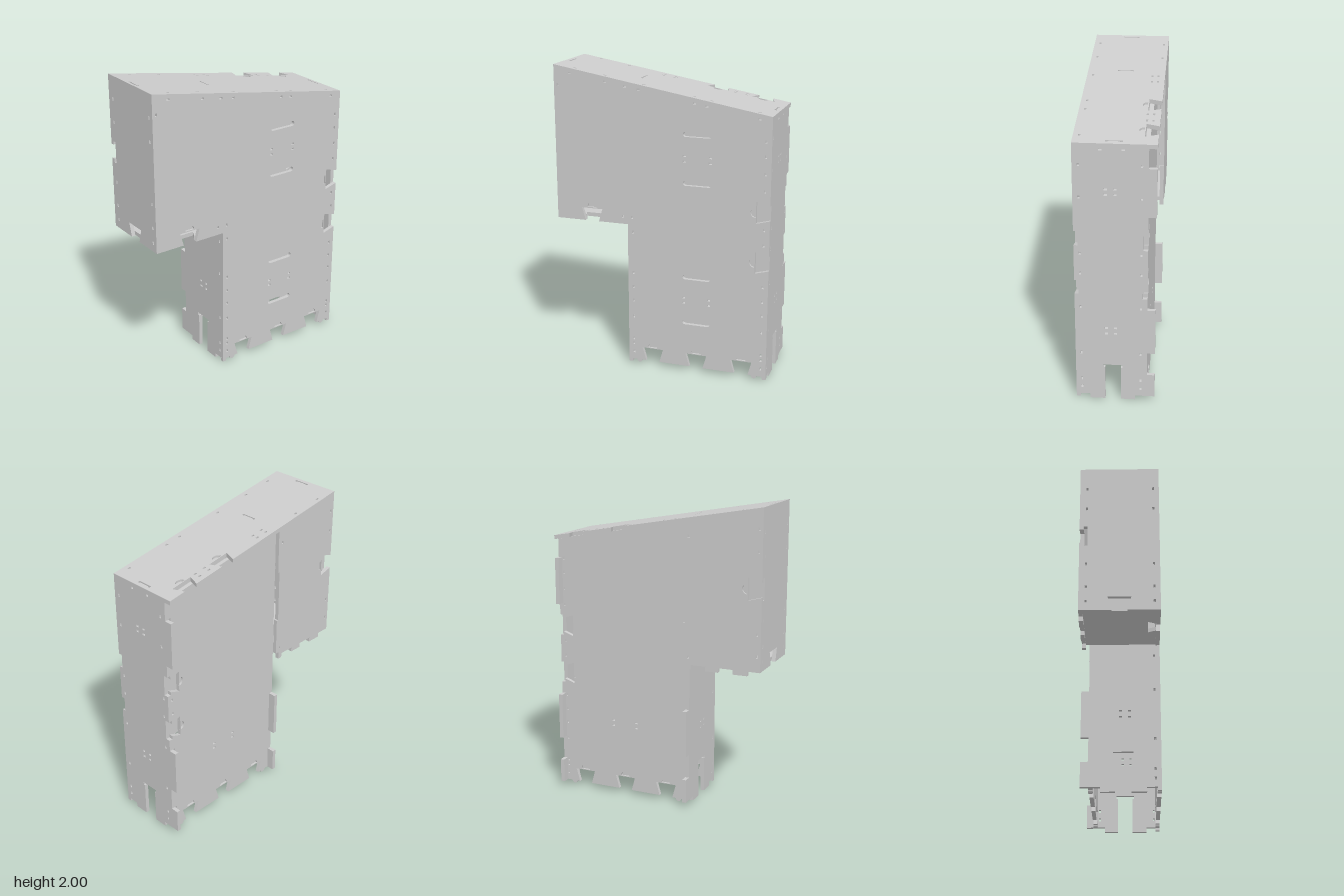
import * as THREE from 'three';

const T = 0.026; // panel thickness
const SLOPE = 0.25 / 1.44;
const roof = x => 2 - SLOPE * (x + 0.72);
const LOCKS = [0.81, 1.14];
const TABS = [[0.03, 0.19], [0.35, 0.66], [1.29, 1.6]];

export function createModel() {
  const group = new THREE.Group();
  const mat = new THREE.MeshStandardMaterial({ color: 0xcccccc, flatShading: true });

  // Outline and holes in a flat plane, given thickness
  const sheet = (points, holes = [], depth = T) => {
    const shape = new THREE.Shape(points.map(p => new THREE.Vector2(...p)));
    shape.holes = holes.map(h => new THREE.Path(h.map(p => new THREE.Vector2(...p))));
    return new THREE.ExtrudeGeometry(shape, { depth, bevelEnabled: false });
  };
  const add = (name, geo, x = 0, y = 0, z = 0) => {
    const mesh = new THREE.Mesh(geo.translate(x, y, z), mat);
    mesh.name = name;
    group.add(mesh);
  };
  const rect = (x, y, w, h) => [[x - w / 2, y - h / 2], [x + w / 2, y - h / 2], [x + w / 2, y + h / 2], [x - w / 2, y + h / 2]];
  const pin = (x, y) => rect(x, y, 0.013, 0.02);
  const pinWide = (x, y) => rect(x, y, 0.02, 0.013);
  const quad = (x, y, dx = 0.17, dy = 0.036) => [[0, 0], [dx, 0], [0, dy], [dx, dy]].map(([a, b]) => pinWide(x + a, y + b));
  const arc = (x, y, r, from, span = Math.PI, n = 12) => Array.from({ length: n + 1 }, (_, i) => {
    const a = from + span * i / n;
    return [x + r * Math.cos(a), y + r * Math.sin(a)];
  });
  const roundSlot = (x, y) => [...arc(x + 0.078, y, 0.016, -Math.PI / 2), ...arc(x - 0.078, y, 0.016, Math.PI / 2)];
  // Dovetail notch while walking an outline anticlockwise in direction d
  const dovetail = (x, y, dx, dy, depth = 0.09) => [[-0.047, 0], [-0.072, depth], [0.072, depth], [0.047, 0]]
    .map(([a, b]) => [x + dx * a - dy * b, y + dy * a + dx * b]);
  const foot = x => [[x - 0.025, 0.03], ...arc(x, 0.03, 0.019, Math.PI, Math.PI, 8), [x + 0.025, 0.03]];

  // Front panel with dovetails, finger recesses, slots and pin holes
  const bottomX = [-0.058, 0.245, 0.552];
  const recesses = [
    ...bottomX.map(x => arc(x, 0.125, 0.032, 0)),
    ...LOCKS.map(y => arc(0.626, y, 0.032, Math.PI / 2)),
    arc(-0.475, 1.072, 0.032, 0),
  ];
  const lowerY = [0.085, 0.145, 0.18, 0.34, 0.455, 0.55, 0.65];
  const edgeY = [...lowerY, 0.93, 1.03, 1.28, 1.39, 1.5, 1.595];
  const mainHoles = [
    ...edgeY.map(y => pin(0.684, y)),
    ...quad(0.16, 0.48), ...quad(0.16, 1.43),
  ];
  const wallHoles = [...lowerY, 0.93].map(y => pin(-0.19, y));
  const frontHoles = [
    ...recesses, ...mainHoles, ...wallHoles,
    ...[0.345, 0.66, 1.29, 1.605].map(y => roundSlot(0.245, y)),
    ...[1.03, 1.8].flatMap(y => [pin(-0.26, y), pin(-0.195, y)]),
    ...[1.08, 1.14, 1.225, 1.73, 1.8, 1.87].map(y => pin(-0.695, y)),
    ...[-0.61, -0.37, -0.235, -0.145, 0.225, 0.305, 0.64].map(x => pinWide(x, roof(x) - 0.032)),
  ];
  add('frontPanel', sheet([
    [-0.72, 0.98], ...dovetail(-0.475, 0.98, 1, 0, 0.085), [-0.225, 0.98], [-0.225, 0.03],
    ...foot(-0.15), ...bottomX.flatMap(x => dovetail(x, 0.03, 1, 0)), ...foot(0.64), [0.72, 0.03],
    ...LOCKS.flatMap(y => dovetail(0.72, y, 0, 1)), [0.72, roof(0.72)], [-0.72, 2],
  ], frontHoles), 0, 0, 0.25 - T);
  recesses.forEach(r => add('fingerRecessFloor', sheet(r, [], T / 2), 0, 0, 0.25 - T));

  // Main back panel, set in behind the side tabs
  const backRecesses = recesses.slice(0, 5);
  add('backPanel', sheet([
    [-0.2, 0.03], ...foot(-0.15), ...bottomX.flatMap(x => dovetail(x, 0.03, 1, 0)), ...foot(0.64), [0.695, 0.03],
    ...LOCKS.flatMap(y => dovetail(0.715, y, 0, 1)).map(([x, y]) => [Math.min(x, 0.695), y]),
    [0.695, roof(0.695) - T], [-0.2, roof(-0.2) - T],
  ], [...backRecesses, ...mainHoles]), 0, 0, -0.2);
  backRecesses.forEach(r => add('backRecessFloor', sheet(r, [], T / 2), 0, 0, -0.2 + T / 2));

  // Back of the overhang, flush with the rear edge and tabbed below
  const sideLock = arc(-0.625, 1.5, 0.032, -Math.PI / 2);
  add('overhangBackPanel', sheet([
    [-0.72, 0.98], [-0.635, 0.98], [-0.635, 0.95], [-0.54, 0.95], [-0.54, 0.98],
    [-0.44, 0.98], [-0.44, 0.95], [-0.355, 0.95], [-0.355, 0.98],
    [-0.255, 0.98], [-0.255, 0.95], [-0.225, 0.95], [-0.225, 1.0], [-0.2, 1.0],
    [-0.2, 1.25], [-0.212, 1.25], [-0.212, 1.6], [-0.2, 1.6], [-0.2, roof(-0.2) - T],
    [-0.72, 2 - T], ...dovetail(-0.72, 1.5, 0, -1),
  ], [
    sideLock, ...[1.08, 1.22, 1.73, 1.87].map(y => pin(-0.695, y)),
    ...[1.03, 1.8].map(y => pin(-0.235, y)),
  ]), 0, 0, -0.25);
  add('overhangRecessFloor', sheet(sideLock, [], T / 2), 0, 0, -0.25 + T / 2);

  // Tall side walls: drawn with u = -z, then turned to face +x
  const wall = (name, x, top, tabs, locks) => {
    const rear = [
      ...tabs.map(([a, b]) => [a, [[0.2, a], [0.25, a], [0.25, b], [0.2, b]]]),
      ...locks.map(y => [y, [[0.2, y - 0.07], [0.17, y - 0.07], [0.17, y + 0.07], [0.2, y + 0.07]]]),
    ].sort((a, b) => a[0] - b[0]).flatMap(e => e[1]);
    const holes = [
      ...[0.085, 0.145, 0.34, 0.67, 0.905, 1.04, 1.41, 1.615].flatMap(y => [pin(-0.213, y), ...(locks.length ? [pin(0.16, y)] : [])]),
      ...quad(-0.055, 0.485, 0.057, 0.04), ...quad(-0.055, 1.43, 0.057, 0.035),
      ...[-0.085, 0.05].map(u => pinWide(u, 1.713)),
    ];
    add(name, sheet([
      [T - 0.25, 0.03], [-0.16, 0.03], [-0.16, 0], [-0.065, 0], [-0.065, 0.235], [-0.077, 0.235], [-0.077, 0.255],
      [0.047, 0.255], [0.047, 0.235], [0.035, 0.235], [0.035, 0], [0.125, 0], [0.125, 0.03],
      ...rear, [0.2, top], [T - 0.25, top],
    ], holes).rotateY(Math.PI / 2), x);
  };
  wall('rightWall', 0.72 - T, roof(0.72) - T, TABS, LOCKS);
  wall('innerWall', -0.225, roof(-0.2) - T, TABS.slice(0, 2), []);
  [0.695, -0.225].forEach(x => add('cornerFoot', new THREE.BoxGeometry(T, 0.02, T), x + T / 2 - 0.001, 0.02, 0.237));

  // Outer wall and floor of the overhang
  add('overhangSideWall', sheet([
    [T - 0.25, 0.98], ...dovetail(0, 0.98, 1, 0), [0.225, 0.98],
    [0.225, 1.43], [0.2, 1.43], [0.2, 1.57], [0.225, 1.57], [0.225, 2 - T], [T - 0.25, 2 - T],
  ], [1.04, 1.14, 1.3, 1.7, 1.85].flatMap(y => [pin(-0.213, y), pin(0.205, y)])).rotateY(Math.PI / 2), -0.72);
  add('overhangFloor', sheet([
    [-0.694, T - 0.25], ...dovetail(-0.475, T - 0.25, 1, 0, 0.05), [-0.225, T - 0.25], [-0.225, 0.224], [-0.694, 0.224],
  ]).rotateX(-Math.PI / 2), 0, 0.985);

  // Sloped top: drawn with v = -z, laid flat, then sheared along x
  const lay = geo => {
    geo.rotateX(-Math.PI / 2);
    const p = geo.attributes.position;
    for (let i = 0; i < p.count; i++) p.setY(i, p.getY(i) + roof(p.getX(i)) - T);
    geo.computeVertexNormals();
    return geo;
  };
  const notchX = [0.557, 0.255];
  const topRecesses = notchX.map(x => arc(x, 0.164, 0.032, Math.PI));
  // Narrow slot with wider ends
  const bone = x => [[-5, -57], [9, -57], [9, -42], [3, -42], [3, 32], [9, 32], [9, 47], [-5, 47]]
    .map(([a, b]) => [x + a / 1000, b / 1000]);
  add('topPanel', lay(sheet([
    [-0.72, T - 0.25], [0.72, T - 0.25], [0.72, 0.25],
    ...notchX.flatMap(x => dovetail(x, 0.25, -1, 0, 0.08)), [-0.72, 0.25],
  ], [
    ...topRecesses, bone(-0.692), bone(-0.193), bone(0.688),
    ...[-0.585, -0.38, -0.12, 0.215, 0.325, 0.63].map(x => pinWide(x, -0.212)),
    ...[-0.585, -0.38].map(x => pinWide(x, 0.22)),
    ...quad(-0.12, 0.17, 0.075, 0.038), ...quad(0.37, 0.17, 0.075, 0.038),
  ])));
  topRecesses.forEach(r => add('topRecessFloor', lay(sheet(r, [], T / 2))));

  return group;
}
